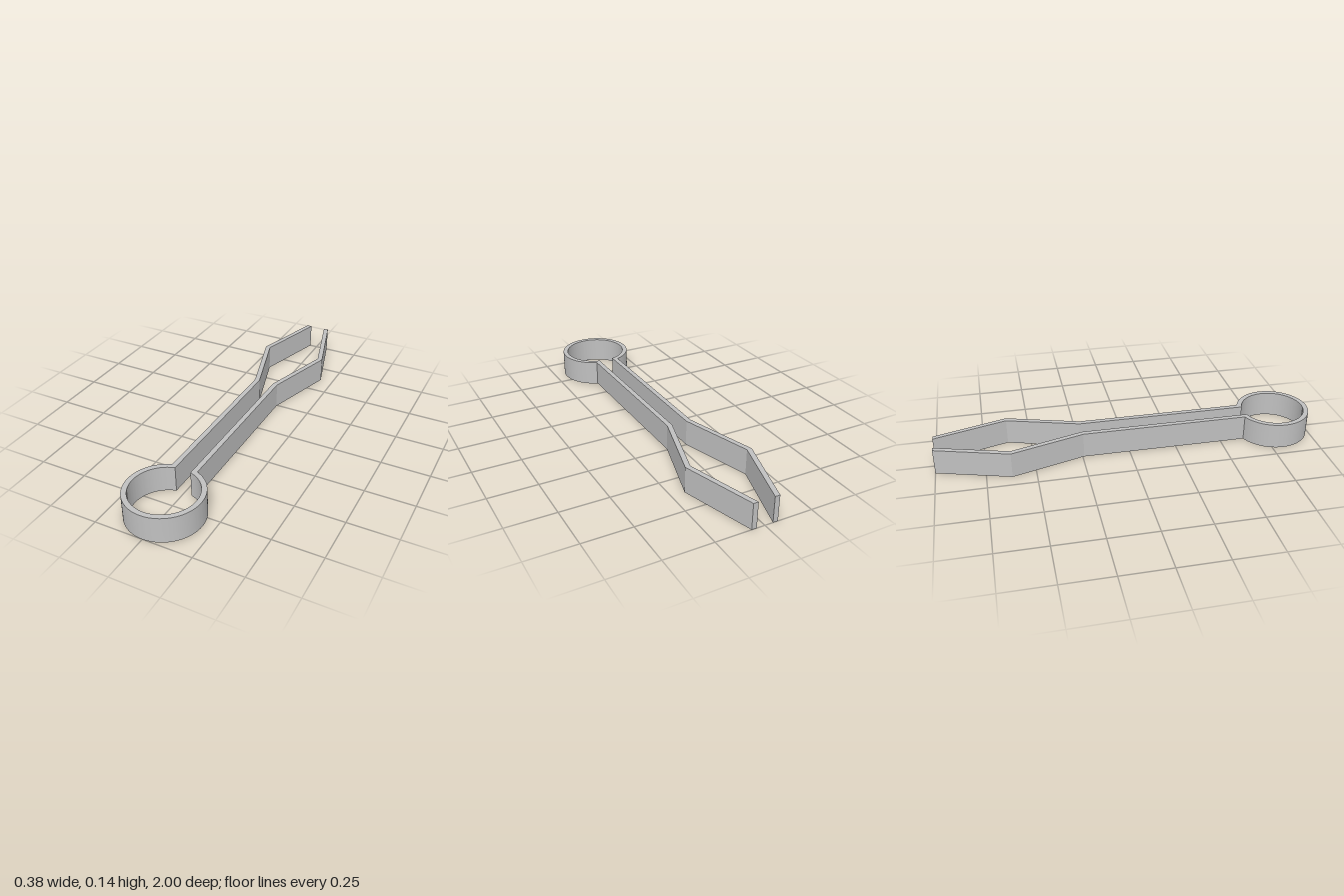
import * as THREE from 'three';
import { toCreasedNormals } from 'three/addons/utils/BufferGeometryUtils.js';

const HEIGHT = 0.135;
const RING_Z = 0.808, R_OUT = 0.192, R_IN = 0.166;
const ARM_OUT = 0.067, ARM_IN = 0.041;

// Raise a plan outline (x, -z) into a strip standing on y = 0
function extrudePlan(shape) {
  const geometry = new THREE.ExtrudeGeometry(shape, {
    depth: HEIGHT, bevelEnabled: false, curveSegments: 72,
  });
  geometry.rotateX(-Math.PI / 2);
  return toCreasedNormals(geometry, 0.2);
}

// Open spring ring with its gap towards the arms
function ringShape() {
  const a = Math.acos(ARM_OUT / R_OUT), b = Math.acos(ARM_IN / R_IN);
  const shape = new THREE.Shape();
  shape.absarc(0, -RING_Z, R_OUT, a, Math.PI - a, true);
  shape.absarc(0, -RING_Z, R_IN, Math.PI - b, b, false);
  shape.closePath();
  return shape;
}

// Straight shank, then a jaw that bows outwards and returns at the tip
function armShape(side) {
  const outerZ = RING_Z - Math.sqrt(R_OUT ** 2 - ARM_OUT ** 2);
  const innerZ = RING_Z - Math.sqrt(R_IN ** 2 - ARM_IN ** 2);
  const outline = [
    [ARM_OUT, outerZ], [ARM_OUT, -0.243], [0.18, -0.622], [0.068, -1],
    [0.042, -1], [0.153, -0.622], [ARM_IN, -0.247], [ARM_IN, innerZ],
  ];
  return new THREE.Shape(outline.map(([x, z]) => new THREE.Vector2(side * x, -z)));
}

export function createModel() {
  const model = new THREE.Group();
  model.name = 'springTongs';
  const metal = new THREE.MeshStandardMaterial({ color: 0xc0c0c0 });
  metal.name = 'light grey metal';

  const add = (name, shape) => {
    const mesh = new THREE.Mesh(extrudePlan(shape), metal);
    mesh.name = name;
    model.add(mesh);
  };
  add('springRing', ringShape());
  add('leftArm', armShape(1));
  add('rightArm', armShape(-1));
  return model;
}
